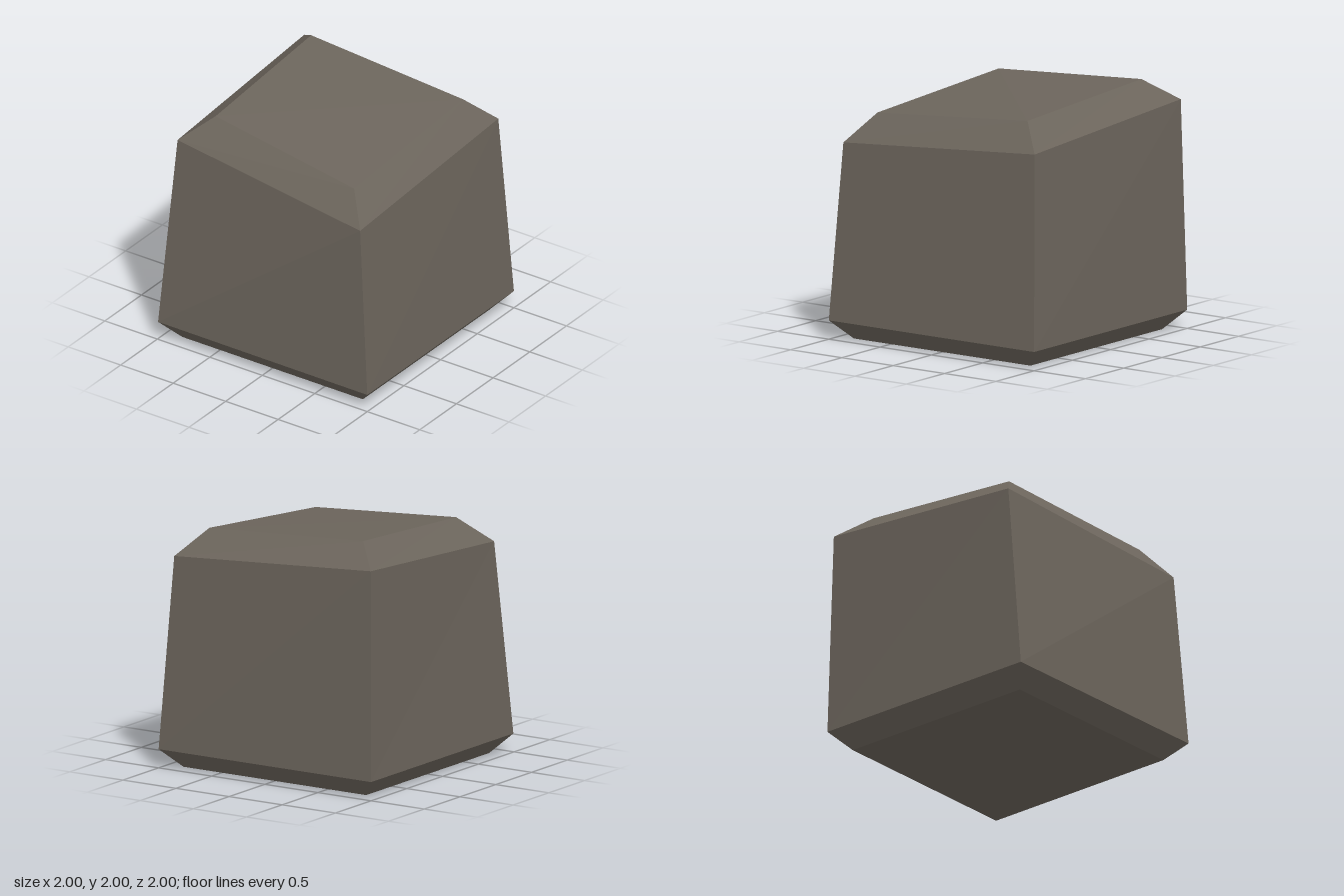
import * as THREE from 'three';

// Cross-sections from the ground up; corners run front-left, front-right, back-right, back-left as seen from the front.
const rings = [
  [[-0.86, 0, 0.86], [0.86, 0, 0.86], [0.86, 0, -0.86], [-0.86, 0, -0.86]],
  [[-1, 0.15, 0.99], [1, 0.15, 1], [1, 0.15, -1], [-1, 0.15, -1]],
  [[-0.94, 1.72, 0.81], [0.89, 1.56, 0.94], [0.9, 1.7, -0.93], [-0.97, 1.83, -0.96]],
  [[-0.71, 1.92, 0.62], [0.7, 1.79, 0.75], [0.71, 1.91, -0.72], [-0.75, 2, -0.74]],
];

export function createModel() {
  const stone = new THREE.MeshStandardMaterial({ color: 0x6c655c });
  stone.name = 'stone';

  const positions = [];
  const quad = (a, b, c, d) => positions.push(...a, ...b, ...c, ...a, ...c, ...d);

  // Bevelled base, leaning walls and bevelled shoulder
  for (let r = 0; r < rings.length - 1; r++) {
    for (let i = 0; i < 4; i++) {
      const j = (i + 1) % 4;
      quad(rings[r][i], rings[r][j], rings[r + 1][j], rings[r + 1][i]);
    }
  }
  // Sloping top and flat underside
  quad(...rings[3]);
  quad(...[...rings[0]].reverse());

  // Unshared corners give every face a flat normal
  const geometry = new THREE.BufferGeometry();
  geometry.setAttribute('position', new THREE.Float32BufferAttribute(positions, 3));
  geometry.computeVertexNormals();

  const block = new THREE.Mesh(geometry, stone);
  block.name = 'stoneBlock';
  const group = new THREE.Group();
  group.name = 'stone';
  group.add(block);
  return group;
}
